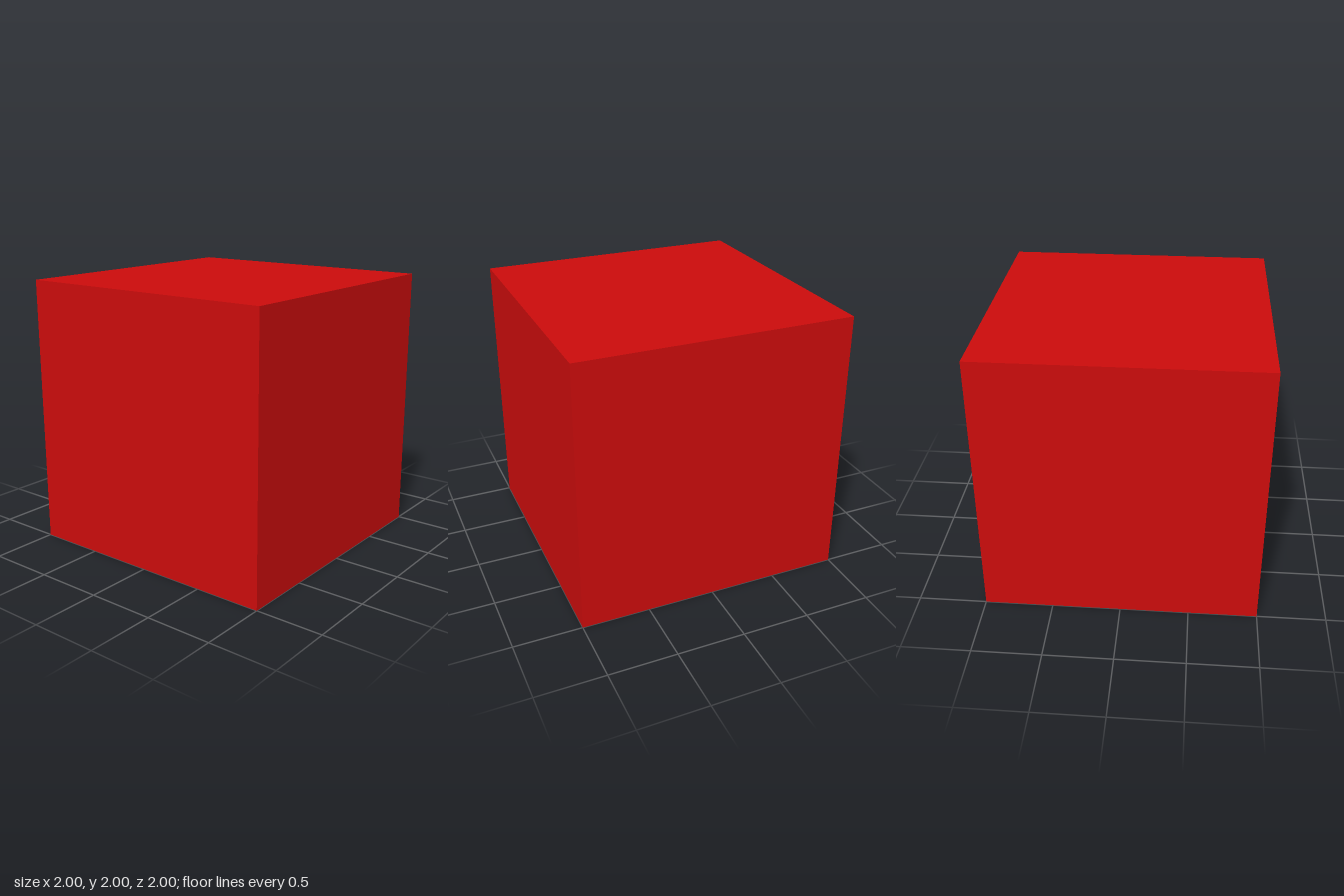
import * as THREE from 'three';

const HOLE = 0.52, FLOOR = 0.3, DEPTH = 0.07, OFFSET = 0.66;

export function createModel() {
  const group = new THREE.Group();
  const red = new THREE.MeshStandardMaterial({ color: 0xcc0c0c });
  const grey = new THREE.MeshStandardMaterial({ color: 0x555555, flatShading: true, side: THREE.DoubleSide });
  const dark = new THREE.MeshStandardMaterial({ color: 0x404040 });
  const add = (name, geometry, material, x = 0, y = 0, z = 0) => {
    const mesh = new THREE.Mesh(geometry, material);
    mesh.name = name;
    mesh.position.set(x, y, z);
    group.add(mesh);
  };

  // Cube walls and top, with the bottom face left out
  const walls = new THREE.BoxGeometry(2, 2, 2);
  const index = Array.from(walls.index.array);
  index.splice(18, 6);
  walls.setIndex(index);
  walls.clearGroups();
  add('body', walls, red, 0, 1, 0);

  // Underside with four square openings
  const square = (Type, cx, cy, half) => new Type([[-1, -1], [1, -1], [1, 1], [-1, 1]]
    .map(([x, y]) => new THREE.Vector2(cx + x * half, cy + y * half)));
  const base = square(THREE.Shape, 0, 0, 1);
  const corners = [[-1, -1], [1, -1], [1, 1], [-1, 1]].map(([x, z]) => [x * OFFSET, z * OFFSET]);
  for (const [x, z] of corners) base.holes.push(square(THREE.Path, x, z, HOLE / 2));
  add('underside', new THREE.ShapeGeometry(base).rotateX(Math.PI / 2), red);

  // Tapered recess and dark floor in each opening
  const taper = new THREE.CylinderGeometry(FLOOR / Math.SQRT2, HOLE / Math.SQRT2, DEPTH, 4, 1, true)
    .rotateY(Math.PI / 4);
  const floor = new THREE.PlaneGeometry(FLOOR, FLOOR).rotateX(Math.PI / 2);
  for (const [x, z] of corners) {
    add('recessWall', taper, grey, x, DEPTH / 2, z);
    add('recessFloor', floor, dark, x, DEPTH, z);
  }
  return group;
}
